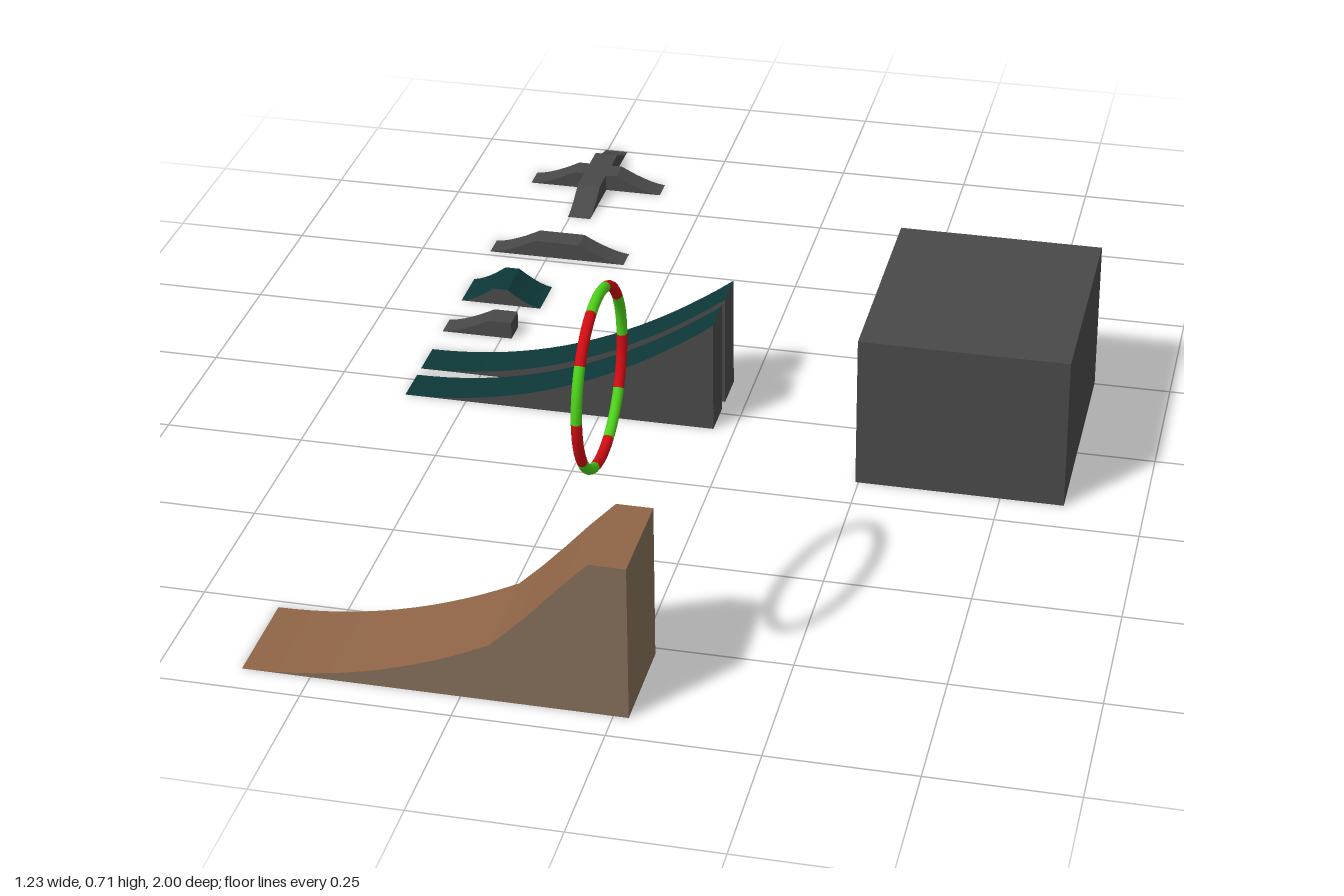
import * as THREE from 'three';

const mat = (name, color) => {
  const m = new THREE.MeshStandardMaterial({ color, side: THREE.DoubleSide });
  m.name = name;
  return m;
};

export function createModel() {
  const model = new THREE.Group();
  const wood = mat('wood deck', 0x8f6446);
  const timber = mat('timber side', 0x826d57);
  const gray = mat('dark gray', 0x484848);
  const teal = mat('dark teal', 0x0d3738);
  const red = mat('ring red', 0xd00c12);
  const green = mat('ring green', 0x4cd01a);

  const add = (parent, name, geometry, material) => {
    const mesh = new THREE.Mesh(geometry, material);
    mesh.name = name;
    parent.add(mesh);
    return mesh;
  };

  // Concave rise from (x0, 0) to (x1, h)
  const rise = (x0, x1, h, power, n = 10) =>
    Array.from({ length: n + 1 }, (_, i) => [x0 + (x1 - x0) * i / n, h * (i / n) ** power]);

  // Hollow ramp, open underneath: deck strip, two side walls and an end wall
  function ramp(name, profile, width, deckMat, sideMat) {
    const group = new THREE.Group();
    group.name = name;
    const w = width / 2, pos = [];
    for (let i = 0; i < profile.length - 1; i++) {
      const [xa, ya] = profile[i], [xb, yb] = profile[i + 1];
      pos.push(xa, ya, w, xb, yb, w, xb, yb, -w, xa, ya, w, xb, yb, -w, xa, ya, -w);
    }
    const deck = new THREE.BufferGeometry();
    deck.setAttribute('position', new THREE.Float32BufferAttribute(pos, 3));
    deck.computeVertexNormals();
    add(group, 'deck', deck, deckMat);

    const [endX, endY] = profile[profile.length - 1];
    const outline = profile.map(([x, y]) => new THREE.Vector2(x, y));
    if (endY > 0) outline.push(new THREE.Vector2(endX, 0));
    const side = new THREE.ShapeGeometry(new THREE.Shape(outline));
    add(group, 'frontSide', side, sideMat).position.z = w;
    // Turned copy so that the outer face looks backwards
    const back = side.clone().scale(-1, 1, 1);
    back.index.array.reverse();
    back.rotateY(Math.PI);
    back.computeVertexNormals();
    add(group, 'backSide', back, sideMat).position.z = -w;
    if (endY > 0) {
      const end = new THREE.PlaneGeometry(width, endY).rotateY(Math.PI / 2);
      add(group, 'endWall', end, sideMat).position.set(endX, endY / 2, 0);
    }
    model.add(group);
    return group;
  }

  // Large jump ramp
  const jump = [...rise(-0.615, -0.2, 0.105, 2.05, 14),
    [-0.16, 0.144], [-0.12, 0.187], [-0.08, 0.232], [-0.036, 0.278], [0.025, 0.278]];
  ramp('jumpRamp', jump, 0.18, wood, timber).position.z = 0.857;

  // Pair of narrow wheel ramps
  for (const z of [-0.079, 0.019])
    ramp('wheelRamp', rise(-0.615, -0.038, 0.212, 2.1, 20), 0.074, teal, gray).position.z = z;

  // Large block
  add(model, 'block', new THREE.BoxGeometry(0.367, 0.282, 0.432), gray).position.set(0.428, 0.141, -0.036);

  // Symmetric bump, centred on its own origin
  const bump = (half, flat, h = 0.033) => {
    const up = rise(-half, -flat, h, 1.5, 6);
    return [...up, ...up.map(([x, y]) => [-x, y]).reverse()];
  };

  // Small obstacles
  const kicker = [...rise(-0.135, -0.045, 0.033, 1.5, 6), [0, 0.033]];
  ramp('kicker', kicker, 0.046, gray, gray).position.set(-0.481, 0, -0.209);
  ramp('spine', bump(0.078, 0.014), 0.088, teal, gray).position.set(-0.537, 0, -0.354);
  ramp('tableTop', bump(0.135, 0.045), 0.046, gray, gray).position.set(-0.481, 0, -0.538);

  // Cross-shaped bump from two crossing bars
  ramp('crossBar', bump(0.135, 0.045), 0.046, gray, gray).position.set(-0.481, 0, -0.845);
  const lengthBar = ramp('crossLengthBar', bump(0.155, 0.073), 0.046, gray, gray);
  lengthBar.rotation.y = Math.PI / 2;
  lengthBar.position.set(-0.481, 0, -0.845);

  // Striped ring in the air above the jump ramp
  const ring = new THREE.Group();
  ring.name = 'ring';
  const step = Math.PI / 5;
  for (let i = 0; i < 10; i++) {
    const arc = new THREE.TorusGeometry(0.141, 0.0085, 10, 6, step);
    add(ring, 'ringSegment', arc, i % 2 ? red : green).rotation.z = Math.PI / 2 - step / 2 + i * step;
  }
  ring.rotation.y = Math.PI / 2;
  ring.position.set(-0.036, 0.556, 0.85);
  model.add(ring);

  return model;
}
